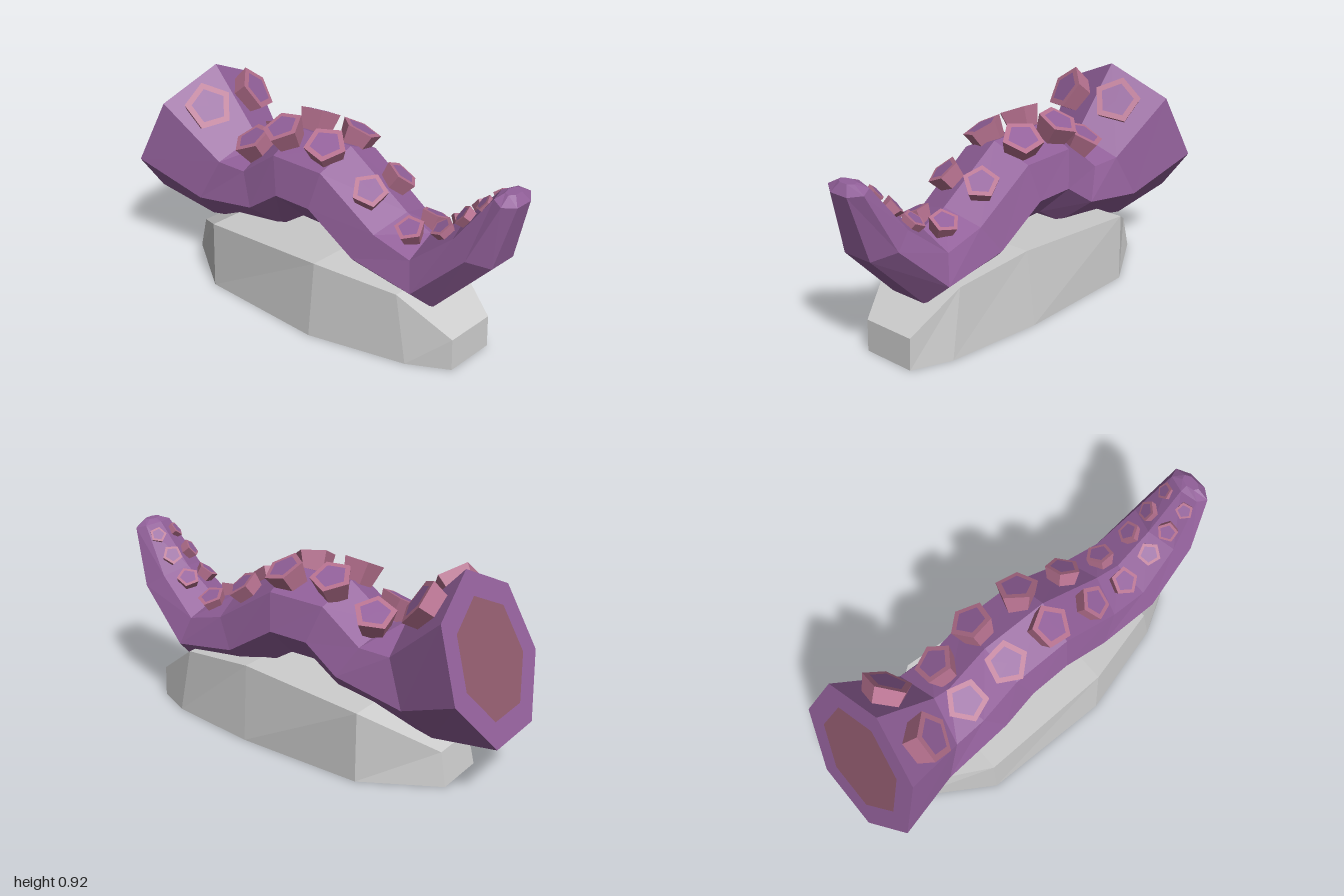
import * as THREE from 'three';

const mat = (color) => new THREE.MeshStandardMaterial({ color, flatShading: true, roughness: 0.9 });
const V = (x, y, z) => new THREE.Vector3(x, y, z);
const middle = (ring) => ring.reduce((s, p) => s.add(p), V(0, 0, 0)).divideScalar(ring.length);

// Skin a list of equal-length rings, with optional flat caps at either end.
function loft(name, rings, material, capStart, capEnd) {
  const pos = [];
  const tri = (...pts) => pts.forEach((p) => pos.push(p.x, p.y, p.z));
  const n = rings[0].length;
  const last = rings[rings.length - 1];
  for (let k = 0; k < n; k++) {
    const m = (k + 1) % n;
    for (let i = 0; i < rings.length - 1; i++) {
      const a = rings[i], b = rings[i + 1];
      tri(a[k], a[m], b[k]);
      tri(a[m], b[m], b[k]);
    }
    if (capStart) tri(middle(rings[0]), rings[0][m], rings[0][k]);
    if (capEnd) tri(middle(last), last[k], last[m]);
  }
  const geo = new THREE.BufferGeometry();
  geo.setAttribute('position', new THREE.Float32BufferAttribute(pos, 3));
  geo.computeVertexNormals();
  const mesh = new THREE.Mesh(geo, material);
  mesh.name = name;
  return mesh;
}

// Seven-sided ring: centre (x, y), tilted up-vector (ux, uy), half width rz.
function heptagon([x, y, ux, uy, rz], scale = 1) {
  return Array.from({ length: 7 }, (_, k) => {
    const t = (k / 7) * Math.PI * 2;
    const c = Math.cos(t) * scale;
    return V(x + ux * c, y + uy * c, Math.sin(t) * rz * scale);
  });
}

export function createModel() {
  const group = new THREE.Group();
  const purple = mat(0x92609a);
  const pink = mat(0xb5708e);
  const flesh = mat(0x8f5a6c);
  const grey = mat(0xcccccc);

  // Tentacle sections from the cut end to the tip
  const sections = [
    [-0.877, 0.575, 0.137, 0.345, 0.358],
    [-0.586, 0.41, 0.107, 0.231, 0.252],
    [-0.304, 0.454, -0.1, 0.16, 0.24],
    [-0.136, 0.572, -0.065, 0.189, 0.23],
    [0.078, 0.575, 0.036, 0.192, 0.226],
    [0.333, 0.415, 0.1, 0.15, 0.215],
    [0.61, 0.366, -0.047, 0.148, 0.203],
    [0.83, 0.575, -0.1, 0.066, 0.163],
    [0.945, 0.813, -0.055, 0.015, 0.102],
  ];
  const rings = sections.map((s) => heptagon(s));
  const cut = heptagon(sections[0], 0.7);
  const tip = heptagon([0.945, 0.84, -0.055, 0.003, 0.1], 0.45);
  group.add(loft('tentacle', [cut, ...rings, tip], purple, false, true));
  group.add(loft('cutEnd', [cut], flesh, true, false));

  // Suckers: rim centre x, y, z (back, front), radius, depth, facing in the xy plane
  const suckers = [
    [-0.6, 0.8, -0.13, 0.17, 0.112, 0.13, 0.75, 0.6],
    [-0.39, 0.69, -0.11, 0.11, 0.095, 0.1, -0.25, 0.9],
    [-0.18, 0.81, -0.12, 0.12, 0.095, 0.1, -0.08, 0.9],
    [0.07, 0.8, -0.12, 0.11, 0.095, 0.1, 0.25, 0.9],
    [0.32, 0.67, -0.105, 0.11, 0.08, 0.1, 0.45, 0.8],
    [0.52, 0.56, -0.085, 0.09, 0.066, 0.08, 0.1, 0.9],
    [0.67, 0.615, -0.068, 0.075, 0.054, 0.07, -0.4, 0.8],
    [0.765, 0.705, -0.065, 0.073, 0.048, 0.06, -0.65, 0.6],
    [0.855, 0.785, -0.06, 0.068, 0.04, 0.05, -0.6, 0.65],
  ];
  suckers.forEach(([x, y, zBack, zFront, r, depth, nx, ny], i) => {
    [zBack, zFront].forEach((z) => {
      const sucker = new THREE.Group();
      sucker.name = z > 0 ? 'frontSucker' : 'backSucker';
      const cup = new THREE.Mesh(new THREE.CylinderGeometry(r, r * 0.72, depth, 5), pink);
      cup.name = 'suckerCup';
      cup.position.y = -depth / 2;
      const face = new THREE.Mesh(new THREE.CircleGeometry(r * 0.72, 5, Math.PI / 2), purple);
      face.name = 'suckerFace';
      face.rotation.set(-Math.PI / 2, 0, Math.PI);
      face.position.y = 0.002;
      sucker.add(cup, face);
      sucker.position.set(x, y, z);
      const normal = V(nx, ny, 0.42 * Math.sign(z)).normalize();
      sucker.quaternion.setFromUnitVectors(V(0, 1, 0), normal);
      sucker.rotateY(i * 0.4 + (z > 0 ? 0.6 : 0));
      group.add(sucker);
    });
  });

  // Rock: slices along x with base x, top x, height, base z and top z (back, front)
  const slices = [
    [-0.76, -0.73, 0.15, -0.12, 0.13, -0.11, 0.12],
    [-0.43, -0.43, 0.315, -0.3, 0.335, -0.295, 0.325],
    [0.18, 0.19, 0.35, -0.28, 0.338, -0.245, 0.31],
    [0.62, 0.56, 0.31, -0.21, 0.215, -0.2, 0.21],
    [0.79, 0.785, 0.145, -0.13, 0.115, -0.13, 0.115],
  ].map(([bx, tx, h, bz0, bz1, tz0, tz1]) =>
    [V(tx, h, tz0), V(tx, h, tz1), V(bx, 0, bz1), V(bx, 0, bz0)]);
  group.add(loft('rock', slices, grey, true, true));

  return group;
}
